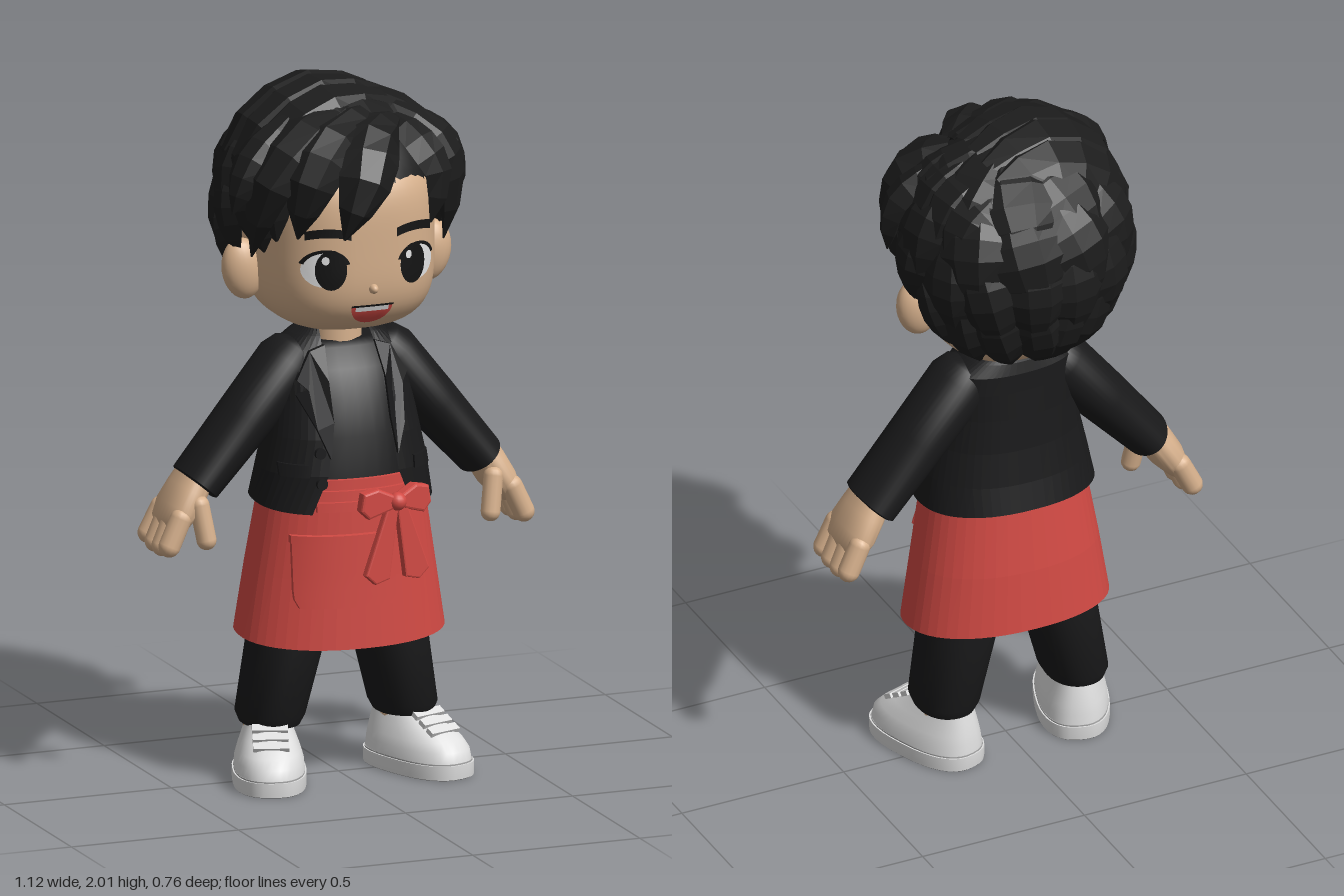
import * as THREE from 'three';
import { mergeGeometries, toCreasedNormals } from 'three/addons/utils/BufferGeometryUtils.js';

const V = (x, y, z) => new THREE.Vector3(x, y, z);
const mat = (name, color, side = THREE.FrontSide) => {
  const m = new THREE.MeshStandardMaterial({ color, side });
  m.name = name;
  return m;
};

// Stacked superellipse rings, bottom to top: [y, half width, front z, back z, centre x, half front opening]
function loft(rings, { n = 36, e = 2, cap = false } = {}) {
  if (cap) {
    const close = ([y, , f, b, cx]) => [y, 0.001, (f + b) / 2 + 0.001, (f + b) / 2 - 0.001, cx];
    rings = [close(rings[0]), ...rings, close(rings[rings.length - 1])];
  }
  const pos = [], idx = [];
  const pow = (v) => Math.sign(v) * Math.abs(v) ** (2 / e);
  rings.forEach(([y, rx, f, b, cx = 0, open = 0], i) => {
    const gap = Math.asin((open / rx) ** (e / 2));
    for (let j = 0; j <= n; j++) {
      const a = gap + (2 * Math.PI - 2 * gap) * j / n;
      pos.push(cx + rx * pow(Math.sin(a)), y, (f + b) / 2 + (f - b) / 2 * pow(Math.cos(a)));
      const p = i * (n + 1) + j, q = p + n + 1;
      if (j < n && i < rings.length - 1) idx.push(p, p + 1, q + 1, p, q + 1, q);
    }
  });
  const g = new THREE.BufferGeometry();
  g.setAttribute('position', new THREE.Float32BufferAttribute(pos, 3));
  g.setIndex(idx);
  return toCreasedNormals(g, 0.75);
}

// Front depth of a lofted body at (x, y)
const frontOf = (rings, e) => (x, y) => {
  let i = 0;
  while (i < rings.length - 2 && y > rings[i + 1][0]) i++;
  const t = THREE.MathUtils.clamp((y - rings[i][0]) / (rings[i + 1][0] - rings[i][0]), 0, 1);
  const [, rx, f, b] = rings[i].map((v, k) => THREE.MathUtils.lerp(v, rings[i + 1][k], t));
  return (f + b) / 2 + (f - b) / 2 * Math.max(0, 1 - Math.abs(x / rx) ** e) ** (1 / e);
};

// Move every vertex of a geometry by a rule
function bend(g, rule) {
  const p = g.attributes.position, v = V();
  for (let i = 0; i < p.count; i++) {
    rule(v.fromBufferAttribute(p, i));
    p.setXYZ(i, v.x, v.y, v.z);
  }
  g.computeVertexNormals();
  return g;
}
const drape = (g, depth, lift) => bend(g, (v) => { v.z += depth(v.x, v.y) + lift; });
const plate = (pts, depth, bevel = 0) => new THREE.ExtrudeGeometry(
  new THREE.Shape(pts.map(([x, y]) => new THREE.Vector2(x, y))),
  { depth, bevelEnabled: bevel > 0, bevelSize: bevel, bevelThickness: bevel, bevelSegments: 2 });

// Head surface: a rounded box-like ellipsoid
const HEAD = { y: 1.56, rx: 0.252, ry: 0.27, rz: 0.265, e: 2.6 };
const faceZ = (x, y) => HEAD.rz * Math.max(0, 1 - Math.abs(x / HEAD.rx) ** HEAD.e
  - ((y - HEAD.y) / HEAD.ry) ** 4) ** (1 / HEAD.e);

// Hair volume: point on the scalp in a given direction
const hairCentre = V(0, 1.66, -0.04);
function scalp(x, y, z, lift = 0) {
  const d = V(x, y, z).normalize();
  return V(0.305 * d.x, (d.y < 0 ? 0.37 : 0.29) * d.y, 0.3 * d.z).multiplyScalar(1 + lift).add(hairCentre);
}
const rad = Math.PI / 180;
const polar = (phi, th, lift) => scalp(Math.sin(th * rad) * Math.sin(phi * rad), Math.cos(th * rad),
  Math.sin(th * rad) * Math.cos(phi * rad), lift);
// Hairline, as an angle down from the crown
const HAIRLINE = [[0, 72], [45, 80], [70, 104], [98, 106], [108, 128], [122, 144], [180, 147]];
function hairline(phi) {
  const a = Math.abs(((phi + 180) % 360 + 360) % 360 - 180);
  let i = 0;
  while (i < HAIRLINE.length - 2 && a > HAIRLINE[i + 1][0]) i++;
  const [[a0, t0], [a1, t1]] = [HAIRLINE[i], HAIRLINE[i + 1]];
  return t0 + (t1 - t0) * (a - a0) / (a1 - a0);
}

// One faceted, tapering lock along a path
function lock(points, w, h) {
  const curve = new THREE.CatmullRomCurve3(points), taper = [0.5, 0.85, 1, 1, 0.85, 0.55, 0.04];
  const pos = [], idx = [];
  taper.forEach((k, i) => {
    const p = curve.getPoint(i / 6), T = curve.getTangent(i / 6);
    const N = p.clone().sub(hairCentre).normalize(), B = T.clone().cross(N).normalize();
    N.crossVectors(B, T);
    [[-1, 0], [-0.4, 1], [0.35, 0.9], [1, 0], [0, -0.6]].forEach(([u, v], j) => {
      const q = p.clone().addScaledVector(B, u * w * k).addScaledVector(N, v * h * (0.3 + 0.7 * k) * (i === 6 ? 0.2 : 1));
      pos.push(q.x, q.y, q.z);
      const a = i * 5 + j, a1 = i * 5 + (j + 1) % 5;
      if (i < 6) idx.push(a, a1, a1 + 5, a, a1 + 5, a + 5);
    });
  });
  const g = new THREE.BufferGeometry();
  g.setAttribute('position', new THREE.Float32BufferAttribute(pos, 3));
  g.setIndex(idx);
  const flat = g.toNonIndexed();
  flat.computeVertexNormals();
  return flat;
}

export function createModel() {
  const model = new THREE.Group();
  const skin = mat('skin', 0xd6b08c), hairMat = mat('hair', 0x1c1c1c, THREE.DoubleSide);
  const cloth = mat('black cloth', 0x19191a, THREE.DoubleSide), red = mat('apron red', 0xd24a44, THREE.DoubleSide);
  const white = mat('shoe white', 0xdedede), grey = mat('outsole grey', 0xa8a8a8);
  const dark = mat('eye black', 0x141414), eyeWhite = mat('eye white', 0xe6e6e6);
  const add = (name, g, m, parent = model) => {
    const mesh = new THREE.Mesh(g, m);
    mesh.name = name;
    parent.add(mesh);
    return mesh;
  };
  const ball = (name, x, y, z, rx, ry, rz, m) => {
    const b = add(name, new THREE.SphereGeometry(1, 24, 16), m);
    b.position.set(x, y, z);
    b.scale.set(rx, ry, rz);
    return b;
  };
  const capsule = (name, a, b, r, m) => {
    const c = add(name, new THREE.CapsuleGeometry(r, a.distanceTo(b), 6, 14), m);
    c.position.copy(a).add(b).multiplyScalar(0.5);
    c.quaternion.setFromUnitVectors(V(0, 1, 0), b.clone().sub(a).normalize());
  };

  // Head and neck
  const sq = (v, r) => Math.sign(v) * r * Math.abs(v) ** (2 / HEAD.e);
  add('head', bend(new THREE.SphereGeometry(1, 48, 36), (v) => {
    const s = THREE.MathUtils.clamp(v.y, -1, 1), r = Math.hypot(v.x, v.z) || 1, k = (1 - s ** 4) ** (1 / HEAD.e);
    v.set(k * sq(v.x / r, HEAD.rx), HEAD.y + HEAD.ry * s, k * sq(v.z / r, HEAD.rz));
  }), skin);
  add('neck', new THREE.CylinderGeometry(0.07, 0.075, 0.16, 24), skin).position.set(0, 1.26, -0.02);
  ball('nose', 0, 1.447, 0.261, 0.013, 0.014, 0.02, skin);

  // Face details laid on the head surface
  const onFace = (name, g, x, y, sx, sy, lift, m) => add(name, drape(g.scale(sx, sy, 1).translate(x, y, 0), faceZ, lift), m);
  const disc = () => new THREE.RingGeometry(0, 1, 28, 4);
  for (const s of [-1, 1]) {
    onFace('eyeWhite', disc(), s * 0.138, 1.508, 0.058, 0.05, 0.003, eyeWhite);
    onFace('iris', disc(), s * 0.122, 1.508, 0.042, 0.058, 0.005, dark);
    onFace('eyeGlint', disc(), s * 0.122 - 0.016, 1.536, 0.01, 0.012, 0.007, eyeWhite);
    onFace('upperLash', new THREE.RingGeometry(0.95, 1.12, 24, 1, 0.3, Math.PI - 0.6), s * 0.136, 1.508, 0.06, 0.053, 0.006, dark);
    onFace('brow', bend(new THREE.PlaneGeometry(1, 1, 10, 1), (v) => { v.y += 0.3 - 1.6 * v.x * v.x; }),
      s * 0.128, 1.607, 0.12, 0.025, 0.006, dark);
    ball('ear', s * 0.28, 1.467, -0.015, 0.061, 0.088, 0.044, skin).rotation.z = -s * 0.15;
  }
  onFace('mouth', new THREE.RingGeometry(0, 1, 24, 4, Math.PI, Math.PI), 0, 1.396, 0.061, 0.056, 0.004, red);
  onFace('teeth', new THREE.PlaneGeometry(0.098, 0.014, 10, 1), 0, 1.388, 1, 1, 0.006, eyeWhite);
  onFace('upperLip', new THREE.PlaneGeometry(0.125, 0.006, 10, 1), 0, 1.398, 1, 1, 0.007, dark);

  // Hair cap following the hairline
  add('hairCap', bend(new THREE.SphereGeometry(1, 48, 20), (v) => {
    const phi = Math.atan2(v.x, v.z) / rad, t = Math.acos(THREE.MathUtils.clamp(v.y, -1, 1)) / Math.PI;
    v.copy(polar(phi, t * hairline(phi), 0));
  }), hairMat);

  // Layered locks: [start angle, end angle, first azimuth, count, width, lift]
  let seed = 7;
  const rnd = () => (seed = (seed * 16807) % 2147483647) / 2147483647;
  const locks = [];
  for (const [t0, t1, from, count, w, lift] of [[12, 80, 80, 6, 0.115, 0], [45, 106, 60, 8, 0.1, 0.03],
    [72, 128, 66, 10, 0.085, 0.04], [98, 154, 104, 8, 0.075, 0.03]]) {
    for (let i = 0; i < count; i++) {
      const phi = from + (360 - 2 * from) * i / (count - 1) + (rnd() - 0.5) * 8;
      const end = Math.min(t1 + (rnd() - 0.5) * 10, hairline(phi) + 8), turn = (rnd() - 0.3) * 14;
      locks.push(lock([polar(phi - turn, t0, 0), polar(phi, (t0 + end) / 2, lift), polar(phi + turn, end, 0.05)], w, 0.036));
    }
  }
  // Locks swept to both sides of the parting
  for (let i = 0; i < 5; i++) {
    const s = -0.5 + i * 0.26, l = 0.04 - 0.07 * Math.abs(s) + 0.015 * (i % 2);
    locks.push(lock([scalp(0.4, 0.92, s - 0.05, 0), scalp(-0.2, 0.97, s + 0.08, l + 0.02), scalp(-0.7, 0.65, s + 0.12, l + 0.03),
      scalp(-1, 0.1, s * 0.9 + 0.06, 0.08)], 0.1, 0.042));
    if (i < 4) locks.push(lock([scalp(0.44, 0.9, s, -0.03), scalp(0.75, 0.62, s, 0.01), scalp(0.97, 0.1, s - 0.08, 0.04)], 0.1, 0.038));
  }
  // Fringe and sideburns: path, width, height
  for (const [path, w, h] of [
    [[[0.1, 1.88, 0.12], [0.01, 1.86, 0.22], [-0.05, 1.765, 0.32], [-0.11, 1.61, 0.32]], 0.09, 0.055],
    [[[0.08, 1.91, 0.08], [-0.1, 1.87, 0.21], [-0.19, 1.76, 0.26], [-0.21, 1.6, 0.22]], 0.085, 0.045],
    [[[0.05, 1.93, 0.04], [-0.15, 1.88, 0.16], [-0.28, 1.75, 0.18], [-0.3, 1.53, 0.1]], 0.085, 0.045],
    [[[-0.18, 1.9, 0.08], [-0.3, 1.8, 0.11], [-0.365, 1.66, 0.12]], 0.07, 0.045],
    [[[0.12, 1.88, 0.1], [0.165, 1.83, 0.18], [0.205, 1.75, 0.215], [0.185, 1.61, 0.225]], 0.065, 0.045],
    [[[0.13, 1.9, 0.06], [0.23, 1.83, 0.14], [0.27, 1.72, 0.15], [0.27, 1.53, 0.11]], 0.08, 0.045],
    [[[0.2, 1.87, 0.03], [0.3, 1.78, 0.05], [0.345, 1.64, 0.04]], 0.07, 0.045],
  ]) locks.push(lock(path.map((p) => V(...p)), w, h));
  add('hairLocks', mergeGeometries(locks), hairMat);

  // Shirt and open jacket
  const coat = [[0.79, 0.258, 0.208, -0.182, 0, 0.15], [0.9, 0.242, 0.202, -0.163, 0, 0.105], [1, 0.22, 0.188, -0.147, 0, 0.09],
    [1.1, 0.202, 0.16, -0.137, 0, 0.085], [1.18, 0.2, 0.125, -0.13, 0, 0.082], [1.235, 0.185, 0.088, -0.126, 0, 0.08],
    [1.268, 0.135, 0.064, -0.117, 0, 0.075], [1.295, 0.085, 0.05, -0.105, 0, 0.07]];
  const coatZ = frontOf(coat, 2.3);
  add('shirt', loft(coat.slice(1, 7).map(([y, rx, f, b]) => [Math.min(y, 1.25) - (y === 0.9 ? 0.03 : 0), rx - 0.025, f - 0.018, b + 0.02]),
    { e: 2.3, cap: true }), cloth);
  add('jacket', bend(loft(coat, { e: 2.3, n: 48 }), (v) => { if (v.y < 0.85) v.y += (0.2 - v.z) * 0.08; }), cloth);
  for (const s of [-1, 1]) {
    const lapel = [[0.075, 1.25], [0.12, 1.235], [0.165, 1.16], [0.14, 1.135], [0.17, 1.12], [0.13, 1.03], [0.1, 0.95], [0.085, 1.05], [0.085, 1.16]];
    add('lapel', drape(plate(lapel.map(([x, y]) => [s * x, y]), 0.014), coatZ, 0.003), cloth);
    add('pocketFlap', drape(new THREE.BoxGeometry(0.065, 0.035, 0.016, 8, 1, 1).translate(s * 0.19, 0.915, 0), coatZ, 0.004), cloth);

    // Sleeve, tapering to the cuff
    const sleeve = add('sleeve', loft([[-0.41, 0.05, 0.085, -0.085], [-0.425, 0.058, 0.095, -0.095], [-0.42, 0.066, 0.105, -0.105],
      [-0.2, 0.078, 0.1, -0.1], [0, 0.086, 0.098, -0.098], [0.045, 0.07, 0.08, -0.08], [0.07, 0.03, 0.045, -0.045]], { cap: true }), cloth);
    sleeve.position.set(s * 0.15, 1.187, -0.012);
    sleeve.rotation.z = s * 0.71;

    // Hand
    const palm = add('palm', loft([[-0.165, 0.02, 0.075, -0.075], [-0.15, 0.036, 0.092, -0.092], [-0.1, 0.048, 0.098, -0.098],
      [-0.04, 0.05, 0.085, -0.085], [0.02, 0.048, 0.07, -0.07]], { e: 2.3, cap: true }), skin);
    palm.position.set(s * 0.425, 0.885, -0.015);
    palm.rotation.z = s * 0.55;
    for (const [z, drop] of [[-0.09, 0.012], [-0.04, 0], [0.01, 0], [0.058, 0.008]])
      capsule('finger', V(s * 0.495, 0.785, z), V(s * 0.53, 0.702 + drop, z * 1.05), 0.031, skin);
    capsule('thumb', V(s * 0.44, 0.82, 0.06), V(s * 0.425, 0.722, 0.076), 0.028, skin);

    // Trouser leg
    add('trouserLeg', loft([[0.16, 0.08, 0.085, -0.12, s * 0.2], [0.188, 0.093, 0.098, -0.132, s * 0.198],
      [0.4, 0.104, 0.118, -0.14, s * 0.154], [0.62, 0.115, 0.125, -0.14, s * 0.115]], { e: 2.2, cap: true }), cloth);

    // Shoe, toes turned out
    const shoe = new THREE.Group();
    shoe.name = 'shoe';
    shoe.position.set(s * 0.217, 0, 0.022);
    shoe.rotation.y = s * 0.33;
    model.add(shoe);
    add('outsole', loft([[0, 0.1, 0.204, -0.165], [0.002, 0.102, 0.207, -0.167]], { e: 2.5, cap: true }), grey, shoe);
    add('sole', loft([[0.002, 0.102, 0.207, -0.167], [0.01, 0.103, 0.208, -0.168], [0.042, 0.103, 0.208, -0.168]], { e: 2.5, cap: true }), white, shoe);
    add('soleSeam', loft([[0.04, 0.099, 0.203, -0.164], [0.046, 0.099, 0.203, -0.164]], { e: 2.5, cap: true }), grey, shoe);
    add('upper', loft([[0.045, 0.099, 0.202, -0.163], [0.075, 0.096, 0.195, -0.16], [0.1, 0.088, 0.17, -0.156],
      [0.13, 0.076, 0.12, -0.15], [0.155, 0.066, 0.075, -0.144], [0.172, 0.06, 0.055, -0.14]], { e: 2.4, cap: true }), white, shoe);
    add('ankle', new THREE.CylinderGeometry(0.068, 0.071, 0.08, 24), skin, shoe).position.set(0, 0.14, -0.045);
    for (let i = 0; i < 3; i++) {
      const strap = add('strap', new THREE.BoxGeometry(0.1, 0.014, 0.026), white, shoe);
      strap.position.set(0, 0.126 + i * 0.018, 0.124 - i * 0.032);
      strap.rotation.x = 0.52;
    }
  }
  for (const y of [0.88, 0.965]) {
    const button = add('button', new THREE.CylinderGeometry(0.016, 0.016, 0.012, 16), cloth);
    button.position.set(-0.125, y, coatZ(-0.125, y) + 0.005);
    button.rotation.x = Math.PI / 2;
  }
  add('hips', loft([[0.5, 0.17, 0.1, -0.12], [0.56, 0.2, 0.13, -0.135], [0.8, 0.2, 0.15, -0.135]], { cap: true }), cloth);

  // Apron skirt with waistband and pocket
  const skirt = [[0.402, 0.302, 0.208, -0.2], [0.6, 0.272, 0.2, -0.185], [0.8, 0.24, 0.194, -0.162], [0.88, 0.222, 0.19, -0.148]];
  const skirtZ = frontOf(skirt, 2.2);
  add('apron', bend(loft(skirt, { e: 2.2, n: 48 }), (v) => { v.y += (0.208 - v.z) * 0.1 * (0.88 - v.y) / 0.48; }), red);
  for (const y of [0.8, 0.832, 0.864])
    add('waistband', drape(new THREE.BoxGeometry(0.27, 0.027, 0.014, 16, 1, 1).translate(0, y + 0.01, 0), skirtZ, 0.004), red);
  // Pocket with rounded lower corners
  add('apronPocket', drape(bend(new THREE.BoxGeometry(0.29, 0.2, 0.014, 20, 8, 1), (v) => {
    if (v.y < -0.06) v.x *= 1 - 0.1 * ((-0.06 - v.y) / 0.04) ** 2;
  }).translate(-0.055, 0.625, 0), skirtZ, 0.008), red);
  add('pocketHem', drape(new THREE.BoxGeometry(0.295, 0.022, 0.02, 20, 1, 1).translate(-0.055, 0.72, 0), skirtZ, 0.01), red);

  // Bow
  const bow = new THREE.Group();
  bow.name = 'bow';
  bow.position.set(0.085, 0.818, 0.2);
  bow.rotation.y = 0.18;
  model.add(bow);
  for (const s of [-1, 1]) {
    const shape = (pts) => pts.map(([x, y]) => [s * x, y]);
    add('bowLoop', plate(shape([[0.01, 0.012], [0.06, 0.035], [0.098, 0.026], [0.105, -0.015], [0.085, -0.035], [0.01, -0.012]]), 0.024, 0.007), red, bow)
      .rotation.y = s * 0.12;
    add('bowTail', plate(shape([[0, 0], [0.022, 0], [0.098, -0.2], [0.07, -0.225], [0.03, -0.215]]), 0.014, 0.005), red, bow)
      .position.z = 0.006;
  }
  add('bowKnot', new THREE.SphereGeometry(0.026, 16, 12), red, bow).position.z = 0.02;
  return model;
}
